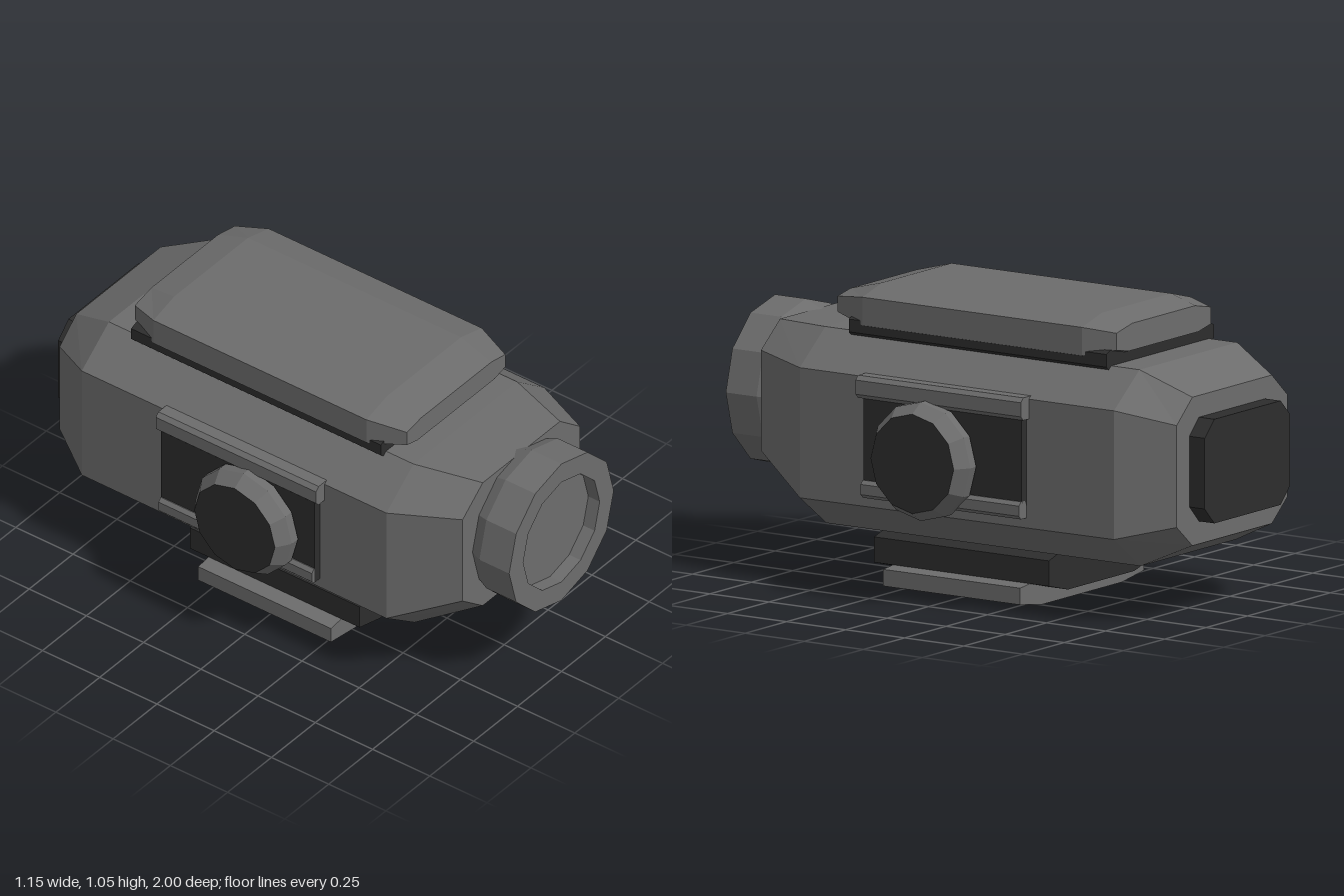
import * as THREE from 'three';

const shell = new THREE.MeshStandardMaterial({ color: 0x6c6c6c });
shell.name = 'shell grey';
const dark = new THREE.MeshStandardMaterial({ color: 0x2d2d2d });
dark.name = 'dark grey';

// Faceted normals baked into the geometry
function faceted(geometry) {
  const g = geometry.index ? geometry.toNonIndexed() : geometry;
  g.computeVertexNormals();
  return g;
}

function add(parent, name, geometry, material) {
  const mesh = new THREE.Mesh(faceted(geometry), material);
  mesh.name = name;
  parent.add(mesh);
  return mesh;
}

// Chamfered cross-section: side half width and heights, then top and bottom flats
function octagon(z, w, lo, hi, topW, top, botW, bot) {
  return [[botW, bot], [w, lo], [w, hi], [topW, top], [-topW, top], [-w, hi], [-w, lo], [-botW, bot]]
    .map(([x, y]) => new THREE.Vector3(x, y, z));
}

// Skins cross-sections listed from back to front and closes both ends
function loft(sections) {
  const points = [];
  const n = sections[0].length;
  for (let s = 0; s < sections.length - 1; s++) {
    const a = sections[s], b = sections[s + 1];
    for (let i = 0; i < n; i++) {
      const j = (i + 1) % n;
      points.push(a[i], a[j], b[j], a[i], b[j], b[i]);
    }
  }
  const back = sections[0], front = sections[sections.length - 1];
  for (let i = 1; i < n - 1; i++) {
    points.push(back[0], back[i + 1], back[i], front[0], front[i], front[i + 1]);
  }
  return new THREE.BufferGeometry().setFromPoints(points);
}

// Straight bar with one chamfered section
function bar(z0, z1, ...section) {
  return loft([octagon(z0, ...section), octagon(z1, ...section)]);
}

function lathe(profile) {
  return new THREE.LatheGeometry(profile.map(([r, h]) => new THREE.Vector2(r, h)), 12);
}

// Side panel, rails and knob; side is +1 or -1
function sideControls(side) {
  const group = new THREE.Group();
  group.name = side > 0 ? 'leftControls' : 'rightControls';

  const panel = add(group, 'sidePanel', new THREE.BoxGeometry(0.08, 0.36, 0.67), dark);
  panel.position.set(side * 0.44, 0.53, -0.045);

  const upper = add(group, 'upperRail', bar(-0.39, 0.31, 0.055, -0.025, 0.025, 0.04, 0.04, 0.04, -0.04), shell);
  upper.position.set(side * 0.443, 0.74, 0);
  const lower = add(group, 'lowerRail', bar(-0.38, 0.29, 0.055, -0.018, 0.018, 0.042, 0.031, 0.042, -0.031), shell);
  lower.position.set(side * 0.441, 0.38, 0);

  const knob = new THREE.Group();
  knob.name = 'knob';
  knob.position.set(side * 0.47, 0.515, 0.015);
  knob.rotation.z = -side * Math.PI / 2;
  add(knob, 'knobRim', lathe([[0.18, 0], [0.21, 0.02], [0.21, 0.055], [0.176, 0.107]]), shell);
  add(knob, 'knobCap', lathe([[0.176, 0.107], [0, 0.107]]), dark);
  group.add(knob);
  return group;
}

export function createModel() {
  const model = new THREE.Group();
  model.name = 'opticSight';

  // Main housing, tapering at both ends
  add(model, 'housing', loft([
    octagon(-0.935, 0.335, 0.36, 0.72, 0.24, 0.805, 0.24, 0.28),
    octagon(-0.75, 0.45, 0.315, 0.77, 0.295, 0.89, 0.29, 0.195),
    octagon(0.58, 0.45, 0.31, 0.77, 0.295, 0.89, 0.29, 0.195),
    octagon(0.825, 0.335, 0.43, 0.785, 0.22, 0.877, 0.22, 0.34),
  ]), shell);

  // Front lens barrel with a shallow recess
  const barrel = add(model, 'lensBarrel', lathe([
    [0.26, 0.78], [0.298, 0.87], [0.298, 1], [0.218, 1], [0.218, 0.95], [0, 0.95],
  ]).rotateX(Math.PI / 2), shell);
  barrel.position.y = 0.609;

  // Rear window
  add(model, 'rearPlate', bar(-1, -0.93, 0.258, 0.42, 0.67, 0.2, 0.728, 0.2, 0.36), dark);

  // Top cover on its dark gasket
  add(model, 'topGasket', bar(-0.63, 0.46, 0.325, 0.89, 0.935, 0.3, 0.945, 0.3, 0.87), dark);
  add(model, 'topCover', loft([
    octagon(-0.645, 0.285, 0.945, 1.005, 0.19, 1.025, 0.21, 0.93),
    octagon(-0.53, 0.329, 0.92, 1.02, 0.21, 1.052, 0.27, 0.9),
    octagon(0.40, 0.329, 0.92, 1.02, 0.21, 1.052, 0.27, 0.9),
    octagon(0.54, 0.28, 0.945, 1.0, 0.2, 1.015, 0.22, 0.93),
  ]), shell);

  // Mount and foot plate
  add(model, 'mountBlock', bar(-0.38, 0.36, 0.315, 0.085, 0.175, 0.24, 0.197, 0.2, 0.055), dark);
  add(model, 'footPlate', bar(-0.3, 0.28, 0.374, 0.02, 0.079, 0.3, 0.087, 0.24, 0), shell);

  model.add(sideControls(1), sideControls(-1));
  return model;
}
